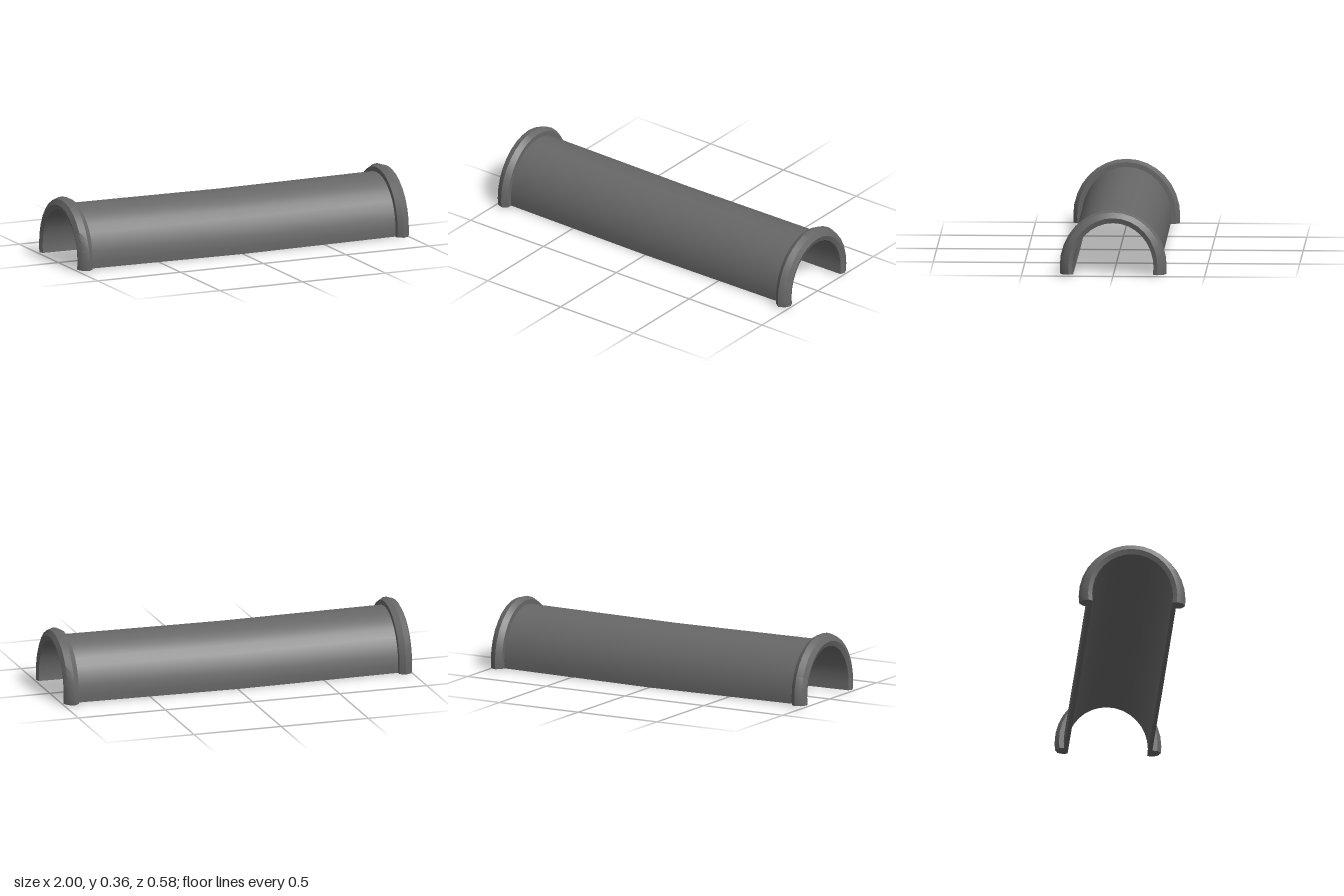
import * as THREE from 'three';
import { toCreasedNormals } from 'three/addons/utils/BufferGeometryUtils.js';

const CENTRE_Y = 0.05, BASE_Y = 0.008, SAG = 0.008, STEPS = 8;

// Point on an elliptical arch at station x; the arch is cut level at the base.
function archPoint(x, rz, ry, i) {
  const n = Math.abs(i);
  const angle = n > STEPS
    ? Math.acos((BASE_Y - CENTRE_Y) / ry)
    : (n / STEPS) * Math.PI / 2;
  const drop = SAG * (1 - Math.abs(x));
  return [x, CENTRE_Y + ry * Math.cos(angle) - drop, Math.sign(i) * rz * Math.sin(angle)];
}

// Arched shell; each station is [outer x, outer rz, outer ry, inner x, inner rz, inner ry], in rising x.
function archShell(stations) {
  const pos = [];
  const quad = (a, b, c, d) => pos.push(...a, ...b, ...c, ...a, ...c, ...d);
  const out = (s, i) => archPoint(s[0], s[1], s[2], i);
  const inn = (s, i) => archPoint(s[3], s[4], s[5], i);
  const end = STEPS + 1;
  const first = stations[0], last = stations[stations.length - 1];

  for (let k = 0; k < stations.length - 1; k++) {
    const s = stations[k], t = stations[k + 1];
    for (let i = -end; i < end; i++) {
      quad(out(s, i), out(s, i + 1), out(t, i + 1), out(t, i));
      quad(inn(s, i), inn(t, i), inn(t, i + 1), inn(s, i + 1));
    }
    // level feet along both lower edges
    quad(out(s, end), inn(s, end), inn(t, end), out(t, end));
    quad(out(s, -end), out(t, -end), inn(t, -end), inn(s, -end));
  }
  // end faces
  for (let i = -end; i < end; i++) {
    quad(out(first, i), inn(first, i), inn(first, i + 1), out(first, i + 1));
    quad(out(last, i), out(last, i + 1), inn(last, i + 1), inn(last, i));
  }
  const geo = new THREE.BufferGeometry();
  geo.setAttribute('position', new THREE.Float32BufferAttribute(pos, 3));
  return toCreasedNormals(geo, THREE.MathUtils.degToRad(43));
}

export function createModel() {
  const group = new THREE.Group();
  group.name = 'archedTile';
  const material = new THREE.MeshStandardMaterial({ color: 0x676767 });
  const add = (name, geometry) => {
    const mesh = new THREE.Mesh(geometry, material);
    mesh.name = name;
    group.add(mesh);
  };

  // half-round body, sagging slightly at mid length
  add('body', archShell([
    [-1, 0.244, 0.271, -0.99, 0.221, 0.243],
    [0, 0.244, 0.271, 0, 0.221, 0.243],
    [1, 0.244, 0.271, 0.99, 0.221, 0.243],
  ]));

  // raised, bevelled collar at each end
  const collar = [
    [0.92, 0.27, 0.297], [0.95, 0.292, 0.311], [0.985, 0.277, 0.3], [1, 0.244, 0.271],
  ].map(([x, rz, ry]) => [x, rz, ry, x, 0.244, 0.271]);
  const mirrored = collar.map(([x, a, b, xi, c, d]) => [-x, a, b, -xi, c, d]).reverse();
  add('leftCollar', archShell(collar));
  add('rightCollar', archShell(mirrored));

  return group;
}
